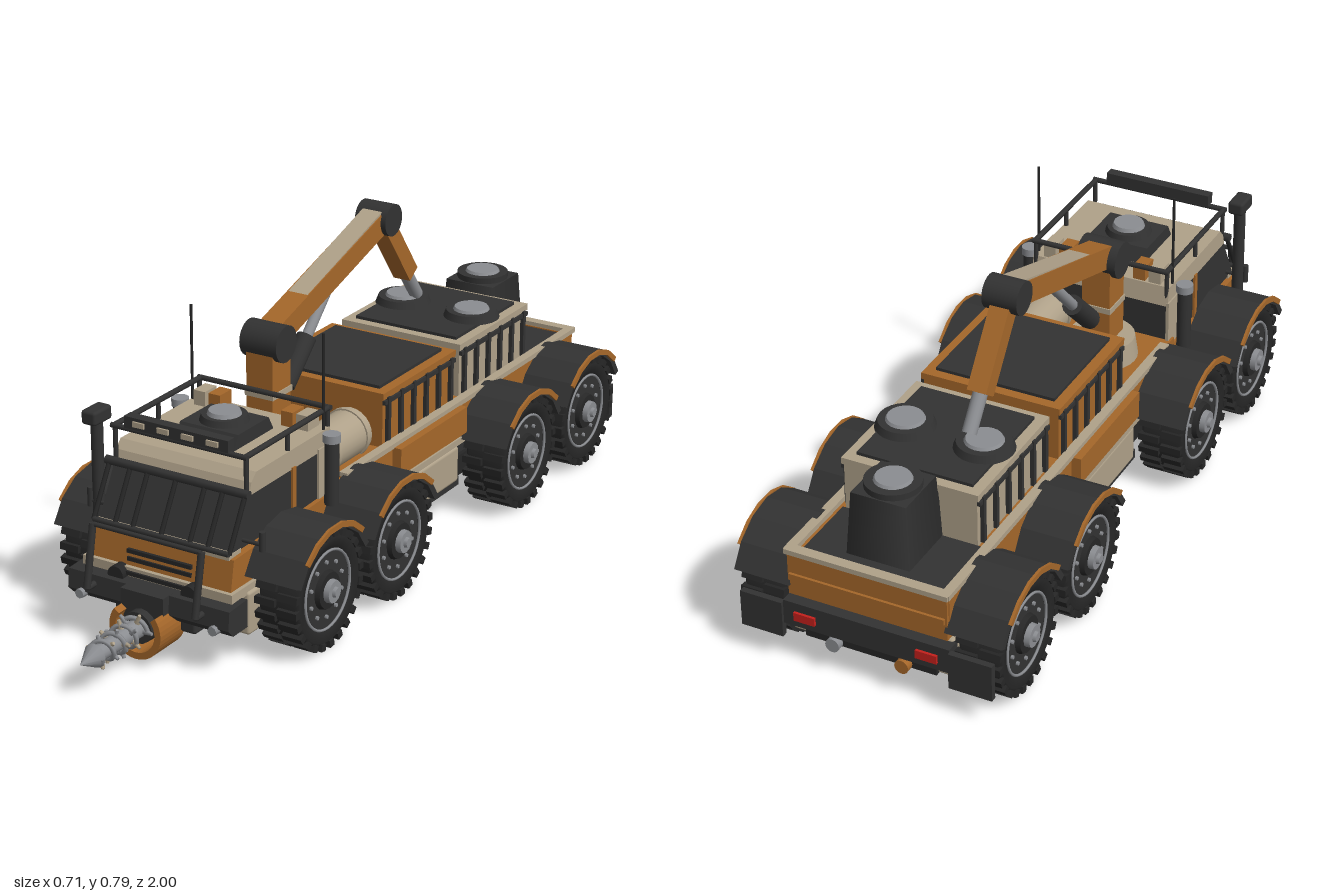
import * as THREE from 'three';
import { RoundedBoxGeometry } from 'three/addons/geometries/RoundedBoxGeometry.js';

export function createModel() {
  const root = new THREE.Group();
  root.name = 'drillTruck';
  const mat = (name, color) => Object.assign(new THREE.MeshStandardMaterial({ color }), { name });
  const dark = mat('darkPanel', 0x323232), tyre = mat('tyreRubber', 0x262626), brown = mat('bronzePaint', 0xa5672a);
  const beige = mat('beigePaint', 0xafa189), grey = mat('steel', 0x8b8d91), red = mat('tailRed', 0xc4201c);
  const sides = [1, -1];

  const add = (name, geo, m, parent = root) => {
    const mesh = new THREE.Mesh(geo, m);
    mesh.name = name;
    parent.add(mesh);
    return mesh;
  };
  // Box from its limits
  const box = (name, m, x0, x1, y0, y1, z0, z1, parent = root) => {
    const b = add(name, new THREE.BoxGeometry(x1 - x0, y1 - y0, z1 - z0), m, parent);
    b.position.set((x0 + x1) / 2, (y0 + y1) / 2, (z0 + z1) / 2);
    return b;
  };
  const pair = (name, m, x0, x1, ...r) => { box(name, m, x0, x1, ...r); box(name, m, -x1, -x0, ...r); };
  const round = (name, m, x0, x1, y0, y1, z0, z1, r) => {
    const b = add(name, new RoundedBoxGeometry(x1 - x0, y1 - y0, z1 - z0, 2, r), m);
    b.position.set((x0 + x1) / 2, (y0 + y1) / 2, (z0 + z1) / 2);
  };
  const align = (mesh, p, q) => {
    const a = new THREE.Vector3(...p), b = new THREE.Vector3(...q);
    mesh.position.copy(a).add(b).multiplyScalar(0.5);
    mesh.quaternion.setFromUnitVectors(new THREE.Vector3(0, 1, 0), b.sub(a).normalize());
    return mesh;
  };
  const span = (p, q) => new THREE.Vector3(...p).distanceTo(new THREE.Vector3(...q));
  // Round rod from p (radius r) to q (radius r2)
  const rod = (name, m, p, q, r, r2 = r, n = 16, parent = root) =>
    align(add(name, new THREE.CylinderGeometry(r2, r, span(p, q), n), m, parent), p, q);
  // Side profile of [z, y] points extruded across x
  const profile = (name, m, pts, x0, x1, parent = root) => {
    const s = new THREE.Shape(pts.map(([z, y]) => new THREE.Vector2(-z, y)));
    const g = new THREE.ExtrudeGeometry(s, { depth: x1 - x0, bevelEnabled: false });
    g.rotateY(Math.PI / 2).translate(x0, 0, 0);
    return add(name, g, m, parent);
  };
  const arc = (ri, ro, a0, a1, n) => {
    const pts = [];
    for (let i = 0; i <= n; i++) { const a = a0 + (a1 - a0) * i / n; pts.push([ro * Math.cos(a), ro * Math.sin(a)]); }
    for (let i = n; i >= 0; i--) { const a = a0 + (a1 - a0) * i / n; pts.push([ri * Math.cos(a), ri * Math.sin(a)]); }
    return pts;
  };

  // Wheels and fenders, built on the +x side and turned for the other
  const buildWheel = () => {
    const w = new THREE.Group();
    w.name = 'wheel';
    const tyrePts = [[0.09, -0.054], [0.128, -0.056], [0.139, -0.046], [0.139, 0.046], [0.128, 0.056], [0.103, 0.05], [0.1, 0.04]];
    add('tyre', new THREE.LatheGeometry(tyrePts.map(p => new THREE.Vector2(...p)), 32).rotateZ(-Math.PI / 2), tyre, w);
    for (let i = 0; i < 24; i++) for (const s of sides) {
      const a = (i + s * 0.25) * Math.PI / 12;
      const lug = box('treadLug', tyre, -0.027, 0.027, -0.009, 0.009, -0.009, 0.009, w);
      lug.position.set(s * 0.03, 0.14 * Math.cos(a), 0.14 * Math.sin(a));
      lug.rotation.x = a;
    }
    rod('rim', dark, [-0.05, 0, 0], [0.044, 0, 0], 0.1, 0.1, 32, w);
    const ring = add('rimRing', new THREE.TorusGeometry(0.098, 0.0035, 6, 36), grey, w);
    ring.rotation.y = Math.PI / 2;
    ring.position.x = 0.05;
    for (let i = 0; i < 10; i++) {
      const a = i * Math.PI / 5, y = Math.cos(a), z = Math.sin(a);
      rod('wheelBolt', grey, [0.04, y * 0.07, z * 0.07], [0.05, y * 0.07, z * 0.07], 0.005, 0.005, 6, w);
    }
    rod('hubBase', tyre, [0.04, 0, 0], [0.056, 0, 0], 0.05, 0.045, 20, w);
    rod('hub', grey, [0.05, 0, 0], [0.07, 0, 0], 0.03, 0.028, 12, w);
    rod('hubCap', grey, [0.07, 0, 0], [0.078, 0, 0], 0.014, 0.012, 8, w);
    return w;
  };
  for (const z of [0.476, 0.15, -0.497, -0.829]) {
    rod('axle', dark, [-0.23, 0.15, z], [0.23, 0.15, z], 0.025);
    for (const s of sides) {
      const w = buildWheel();
      w.position.set(s * 0.278, 0.15, z);
      if (s < 0) w.rotation.y = Math.PI;
      root.add(w);
      const x = s > 0 ? 0.2 : -0.345;
      profile('fender', dark, arc(0.153, 0.17, 0.4, Math.PI - 0.4, 6), x, x + 0.145).position.set(0, 0.15, z);
      const xt = s > 0 ? 0.345 : -0.352;
      profile('fenderTrim', brown, arc(0.158, 0.172, 0.75, Math.PI - 0.75, 5), xt, xt + 0.007).position.set(0, 0.15, z);
    }
  }

  // Chassis, side skirts and deck
  box('chassisPlate', tyre, -0.17, 0.17, 0.075, 0.13, -0.97, 0.66);
  box('chassisCore', dark, -0.16, 0.16, 0.13, 0.21, -0.95, 0.66);
  box('lowerBody', brown, -0.2, 0.2, 0.2, 0.3, -0.96, 0.26);
  for (const s of sides) {
    const lim = (a, b) => s > 0 ? [a, b] : [-b, -a];
    for (const [z0, z1] of [[-0.34, -0.01], [-0.78, -0.55], [0.22, 0.42]])
      round('sideTank', z0 > 0 ? brown : beige, ...lim(0.16, 0.217), 0.1, 0.2, z0, z1, 0.01);
    round('frontStep', beige, ...lim(0.17, 0.217), 0.07, 0.18, 0.52, 0.64, 0.008);
    round('rearStep', beige, ...lim(0.16, 0.21), 0.075, 0.18, -0.96, -0.9, 0.008);
  }
  pair('sideFrame', dark, 0.165, 0.205, 0.08, 0.105, -0.36, 0.02);
  pair('sidePanel', brown, 0.2, 0.232, 0.235, 0.305, -0.35, -0.02);
  pair('sideStrip', beige, 0.2, 0.222, 0.205, 0.222, -0.36, 0.01);
  pair('bedWall', brown, 0.19, 0.207, 0.22, 0.305, -0.97, 0.2);
  pair('bedRail', beige, 0.188, 0.212, 0.303, 0.316, -0.98, 0.2);
  box('tailgate', brown, -0.205, 0.205, 0.19, 0.305, -0.978, -0.955);
  box('tailRail', beige, -0.21, 0.21, 0.303, 0.316, -0.985, -0.958);
  box('tailRib', brown, -0.2, 0.2, 0.235, 0.25, -0.985, -0.975);
  box('bedFloor', dark, -0.18, 0.18, 0.299, 0.304, -0.95, -0.765);

  // Rear bumper, tail lights, mud flaps and pipes
  box('rearBumper', dark, -0.215, 0.215, 0.11, 0.175, -0.99, -0.95);
  pair('tailLight', red, 0.13, 0.185, 0.13, 0.152, -0.997, -0.989);
  pair('mudFlap', dark, 0.215, 0.325, 0.075, 0.17, -0.998, -0.982);
  for (const s of sides) rod('exhaustPipe', s > 0 ? grey : brown, [s * 0.09, 0.085, -0.9], [s * 0.09, 0.085, -0.99], 0.018);

  // Cab body, glass and roof
  profile('cabLower', brown, [[0.23, 0.19], [0.69, 0.19], [0.675, 0.272], [0.23, 0.285]], -0.2, 0.2);
  profile('cabGlass', dark, [[0.24, 0.28], [0.66, 0.28], [0.59, 0.41], [0.24, 0.41]], -0.188, 0.188);
  profile('cabRoof', beige, [[0.235, 0.4], [0.595, 0.4], [0.585, 0.43], [0.565, 0.45], [0.245, 0.45]], -0.19, 0.19);
  box('cabBeltFront', beige, -0.19, 0.19, 0.27, 0.283, 0.63, 0.68);
  box('cabSill', beige, -0.21, 0.21, 0.172, 0.196, 0.25, 0.7);
  pair('cabRearPillar', beige, 0.186, 0.194, 0.28, 0.41, 0.235, 0.3);
  pair('doorPillar', brown, 0.186, 0.194, 0.28, 0.405, 0.4, 0.415);
  for (const y of [0.183, 0.212, 0.232]) box('grilleSlot', tyre, -0.09, 0.09, y - 0.005, y + 0.005, 0.68, y < 0.19 ? 0.706 : 0.69);
  rod('guardTopBar', dark, [-0.2, 0.41, 0.61], [0.2, 0.41, 0.61], 0.011, 0.011, 8);
  rod('guardLowBar', dark, [-0.19, 0.286, 0.68], [0.19, 0.286, 0.68], 0.007, 0.007, 8);
  for (const x of [-0.19, -0.13, -0.08, 0, 0.08, 0.13, 0.19]) rod('guardBar', tyre, [x, 0.41, 0.61], [x, 0.285, 0.68], 0.006, 0.006, 6);

  // Roof hatch, crates, rack and light bar
  profile('roofHatch', dark, [[0.325, 0.45], [0.495, 0.45], [0.475, 0.485], [0.345, 0.485]], -0.082, 0.082);
  rod('hatchDome', dark, [0, 0.48, 0.41], [0, 0.5, 0.41], 0.062, 0.055, 24);
  rod('hatchCap', grey, [0, 0.5, 0.41], [0, 0.51, 0.41], 0.042, 0.038, 20);
  pair('roofCaseLarge', beige, 0.13, 0.163, 0.45, 0.488, 0.25, 0.3);
  pair('roofCaseSmall', brown, 0.087, 0.12, 0.45, 0.488, 0.25, 0.3);
  for (const s of sides) {
    rod('rackRail', dark, [s * 0.183, 0.496, 0.24], [s * 0.183, 0.496, 0.6], 0.007, 0.007, 8);
    for (const z of [0.245, 0.42, 0.595]) rod('rackPost', dark, [s * 0.183, 0.41, z], [s * 0.183, 0.496, z], 0.006, 0.006, 8);
    rod('antenna', tyre, [s * 0.187, 0.45, 0.27], [s * 0.187, 0.693, 0.27], 0.0035, 0.0035, 6);
    // Exhaust stacks behind the doors
    rod('stack', dark, [s * 0.217, 0.27, 0.28], [s * 0.217, 0.43, 0.28], 0.018);
    rod('stackCap', grey, [s * 0.217, 0.43, 0.28], [s * 0.217, 0.45, 0.28], 0.022);
    rod('mirror', dark, [s * 0.242, 0.285, 0.62], [s * 0.242, 0.333, 0.62], 0.008);
    rod('mirrorArm', dark, [s * 0.185, 0.3, 0.62], [s * 0.242, 0.3, 0.62], 0.005, 0.005, 6);
  }
  for (const z of [0.24, 0.6]) rod('rackCrossRail', dark, [-0.19, 0.496, z], [0.19, 0.496, z], 0.007, 0.007, 8);
  box('lightBar', dark, -0.145, 0.145, 0.502, 0.532, 0.585, 0.612);
  for (const x of [-0.103, -0.034, 0.034, 0.103]) box('roofLamp', beige, x - 0.016, x + 0.016, 0.511, 0.524, 0.61, 0.617);

  // Air intake snorkel
  rod('snorkel', dark, [-0.225, 0.24, 0.61], [-0.225, 0.51, 0.61], 0.015);
  round('snorkelHead', dark, -0.246, -0.204, 0.5, 0.536, 0.575, 0.645, 0.008);

  // Front bumper and bull bar
  profile('frontBumper', dark, [[0.66, 0.105], [0.72, 0.105], [0.74, 0.125], [0.735, 0.172], [0.66, 0.175]], -0.226, 0.226);
  for (const s of sides) {
    rod('headlamp', grey, [s * 0.187, 0.12, 0.72], [s * 0.187, 0.12, 0.75], 0.013, 0.012, 8);
    rod('bullBar', dark, [s * 0.152, 0.15, 0.765], [s * 0.152, 0.305, 0.735], 0.009, 0.009, 8);
    rod('bullBarBrace', dark, [s * 0.152, 0.15, 0.765], [s * 0.152, 0.15, 0.7], 0.008, 0.008, 8);
    rod('bumperLamp', tyre, [s * 0.103, 0.178, 0.69], [s * 0.103, 0.178, 0.72], 0.022);
    round('towBlock', dark, s * 0.092 - 0.022, s * 0.092 + 0.022, 0.073, 0.125, 0.66, 0.71, 0.008);
  }
  rod('bullBarCross', dark, [-0.152, 0.303, 0.735], [0.152, 0.303, 0.735], 0.006, 0.006, 8);

  // Drill with an open-topped shroud
  box('drillMount', dark, -0.06, 0.06, 0.085, 0.173, 0.68, 0.76);
  const shroud = new THREE.Shape(arc(0.055, 0.072, -Math.PI - 0.65, 0.65, 28).map(p => new THREE.Vector2(...p)));
  add('drillShroud', new THREE.ExtrudeGeometry(shroud, { depth: 0.1, bevelEnabled: false }), brown).position.set(0, 0.09, 0.69);
  rod('drillMotor', dark, [0, 0.093, 0.68], [0, 0.093, 0.78], 0.045, 0.04);
  rod('drillShaft', grey, [0, 0.093, 0.76], [0, 0.093, 0.95], 0.024, 0.02);
  rod('drillTip', grey, [0, 0.093, 0.945], [0, 0.093, 1], 0.03, 0.001, 12);
  const helix = [];
  for (let i = 0; i <= 40; i++) {
    const t = i / 40, a = t * Math.PI * 8, r = 0.033 - 0.009 * t;
    helix.push(new THREE.Vector3(r * Math.cos(a), 0.093 + r * Math.sin(a), 0.785 + 0.165 * t));
  }
  add('drillSpiral', new THREE.TubeGeometry(new THREE.CatmullRomCurve3(helix), 120, 0.006, 6), grey);
  for (let i = 0; i < 22; i++) {
    const t = i / 22, a = i * 1.15, r = 0.048 - 0.012 * t, z = 0.785 + 0.16 * t, c = Math.cos(a), s = Math.sin(a);
    rod('drillTooth', i % 2 ? beige : grey, [0.02 * c, 0.093 + 0.02 * s, z], [r * c, 0.093 + r * s, z + 0.004], 0.008, 0.004, 6);
  }

  // Cargo crates with ribs
  const crate = (name, m, w, z0, z1, ribMat) => {
    box(name, m, -w, w, 0.3, 0.43, z0, z1);
    box(name + 'Lid', m, -w - 0.005, w + 0.005, 0.427, 0.444, z0 - 0.004, z1 + 0.004);
    box(name + 'TopPanel', dark, -w + 0.022, w - 0.022, 0.44, 0.452, z0 + 0.022, z1 - 0.022);
    for (let i = 0; i < 6; i++) {
      const z = z0 + 0.02 + (z1 - z0 - 0.04) * i / 5;
      pair(name + 'Rib', ribMat, w, w + 0.01, 0.305, 0.43, z - 0.006, z + 0.006);
    }
    pair(name + 'Rail', ribMat, w, w + 0.008, 0.413, 0.424, z0, z1);
  };
  crate('middleCrate', brown, 0.18, -0.365, -0.015, dark);
  crate('rearCrate', beige, 0.172, -0.765, -0.41, dark);
  for (const s of sides) {
    rod('turretRing', dark, [s * 0.103, 0.45, -0.595], [s * 0.103, 0.47, -0.595], 0.074, 0.066, 24);
    rod('turretCap', grey, [s * 0.103, 0.47, -0.595], [s * 0.103, 0.477, -0.595], 0.048, 0.044, 20);
  }
  // Rear tower
  const tower = add('rearTower', new THREE.CylinderGeometry(0.1, 0.115, 0.165, 4).rotateY(Math.PI / 4), dark);
  tower.position.set(0, 0.385, -0.84);
  rod('towerTop', dark, [0, 0.462, -0.84], [0, 0.483, -0.84], 0.068, 0.068, 24);
  rod('towerCap', grey, [0, 0.483, -0.84], [0, 0.49, -0.84], 0.046, 0.042, 20);

  // Fuel drum beside the crane
  rod('drum', beige, [0.112, 0.345, 0.02], [0.112, 0.345, 0.19], 0.06, 0.06, 24);
  for (const z of [0.04, 0.17]) rod('drumBand', beige, [0.112, 0.345, z - 0.006], [0.112, 0.345, z + 0.006], 0.064, 0.064, 24);

  // Crane
  const cx = -0.065;
  rod('craneBase', beige, [cx, 0.3, 0.115], [cx, 0.355, 0.115], 0.092, 0.084, 28);
  box('cranePost', brown, cx - 0.038, cx + 0.038, 0.35, 0.565, 0.078, 0.16);
  box('craneCollar', beige, cx - 0.041, cx + 0.041, 0.44, 0.455, 0.075, 0.163);
  rod('shoulderJoint', dark, [cx - 0.053, 0.577, 0.12], [cx + 0.053, 0.577, 0.12], 0.047, 0.047, 24);
  const beam = (name, m, p, q, w, h) => align(add(name, new THREE.BoxGeometry(w, span(p, q), h), m), p, q);
  beam('boom', brown, [cx, 0.585, 0.12], [cx, 0.747, -0.4], 0.062, 0.058);
  beam('boomTopPlate', beige, [cx, 0.615, 0.1], [cx, 0.769, -0.37], 0.056, 0.009);
  rod('elbowJoint', dark, [cx - 0.045, 0.745, -0.4], [cx + 0.045, 0.745, -0.4], 0.042, 0.042, 24);
  beam('forearm', brown, [cx, 0.745, -0.4], [cx, 0.555, -0.54], 0.05, 0.046);
  rod('forearmRod', grey, [cx, 0.56, -0.535], [cx, 0.478, -0.597], 0.018);
  rod('pistonBarrel', dark, [cx, 0.435, 0.045], [cx, 0.53, -0.055], 0.026);
  rod('pistonRod', grey, [cx, 0.52, -0.045], [cx, 0.64, -0.165], 0.014);
  return root;
}
